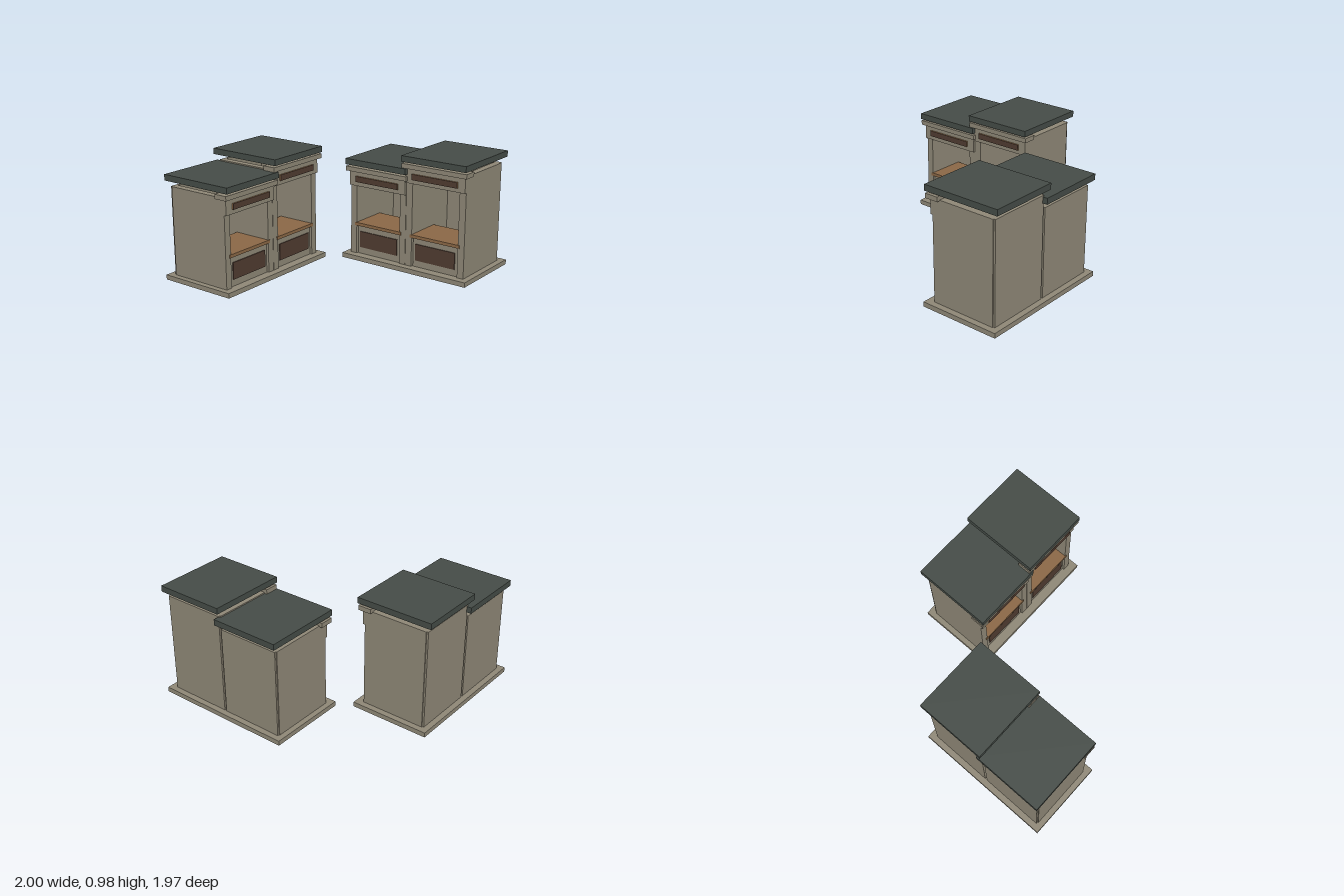
import * as THREE from 'three';

const mat = (name, color) => {
  const m = new THREE.MeshStandardMaterial({ color });
  m.name = name;
  return m;
};

export function createModel() {
  const stone = mat('stone', 0x8f8877);
  const slate = mat('slate', 0x454c47);
  const wood = mat('wood', 0x8b6846);
  const dark = mat('darkWood', 0x503c31);

  // Box given by its limits on each axis
  const box = (parent, name, material, [x0, x1], [y0, y1], [z0, z1]) => {
    const mesh = new THREE.Mesh(new THREE.BoxGeometry(x1 - x0, y1 - y0, z1 - z0), material);
    mesh.position.set((x0 + x1) / 2, (y0 + y1) / 2, (z0 + z1) / 2);
    mesh.name = name;
    parent.add(mesh);
  };

  // One booth, centred on its own x, open at the front and under the raised roof
  const buildBooth = (name, x, h) => {
    const g = new THREE.Group();
    g.name = name;
    g.position.x = x;
    const W = 0.275;

    // Side walls and back panel
    box(g, 'leftWall', stone, [W - 0.058, W], [0.04, h.wall], [-0.277, 0.278]);
    box(g, 'rightWall', stone, [-W, -W + 0.058], [0.04, h.wall], [-0.277, 0.278]);
    box(g, 'backPanel', stone, [-W + 0.008, W - 0.008], [0.04, h.wall], [-0.292, -0.27]);

    // Cabinet with its dark front panel, and the counter on top
    box(g, 'cabinet', stone, [-0.21, 0.21], [0.04, 0.29], [-0.05, 0.262]);
    box(g, 'cabinetPanel', dark, [-0.186, 0.186], [0.097, 0.237], [0.262, 0.27]);
    box(g, 'counter', wood, [-0.232, 0.232], [0.288, 0.315], [-0.06, 0.284]);

    // Header with sign board
    box(g, 'header', stone, [-W, W], [h.header, h.cornice], [0.272, 0.298]);
    box(g, 'signBack', wood, [-0.209, 0.209], [h.sign, h.sign + 0.048], [0.298, 0.309]);
    box(g, 'signFace', dark, [-0.209, 0.209], [h.sign, h.sign + 0.048], [0.309, 0.313]);

    // Cornice and floating roof slab
    box(g, 'cornice', stone, [-0.299, 0.299], [h.cornice, h.cornice + 0.038], [0.21, 0.324]);
    box(g, 'roof', slate, [-0.297, 0.297], [h.roof, h.roof + 0.05], [-0.332, 0.333]);
    return g;
  };

  // A pair of booths, low and high, on one plinth
  const buildPair = (name) => {
    const g = new THREE.Group();
    g.name = name;
    box(g, 'plinth', stone, [-0.6, 0.6], [0, 0.04], [-0.341, 0.341]);
    g.add(buildBooth('lowBooth', -0.279, { wall: 0.775, header: 0.64, cornice: 0.765, sign: 0.677, roof: 0.82 }));
    g.add(buildBooth('highBooth', 0.274, { wall: 0.88, header: 0.748, cornice: 0.872, sign: 0.783, roof: 0.925 }));
    return g;
  };

  const model = new THREE.Group();
  model.name = 'marketBooths';

  const back = buildPair('backPair');
  back.position.set(0.4, 0, -0.642);
  model.add(back);

  // The second pair is turned to face the model's left
  const side = buildPair('sidePair');
  side.position.set(-0.659, 0, 0.383);
  side.rotation.y = Math.PI / 2;
  model.add(side);

  return model;
}
